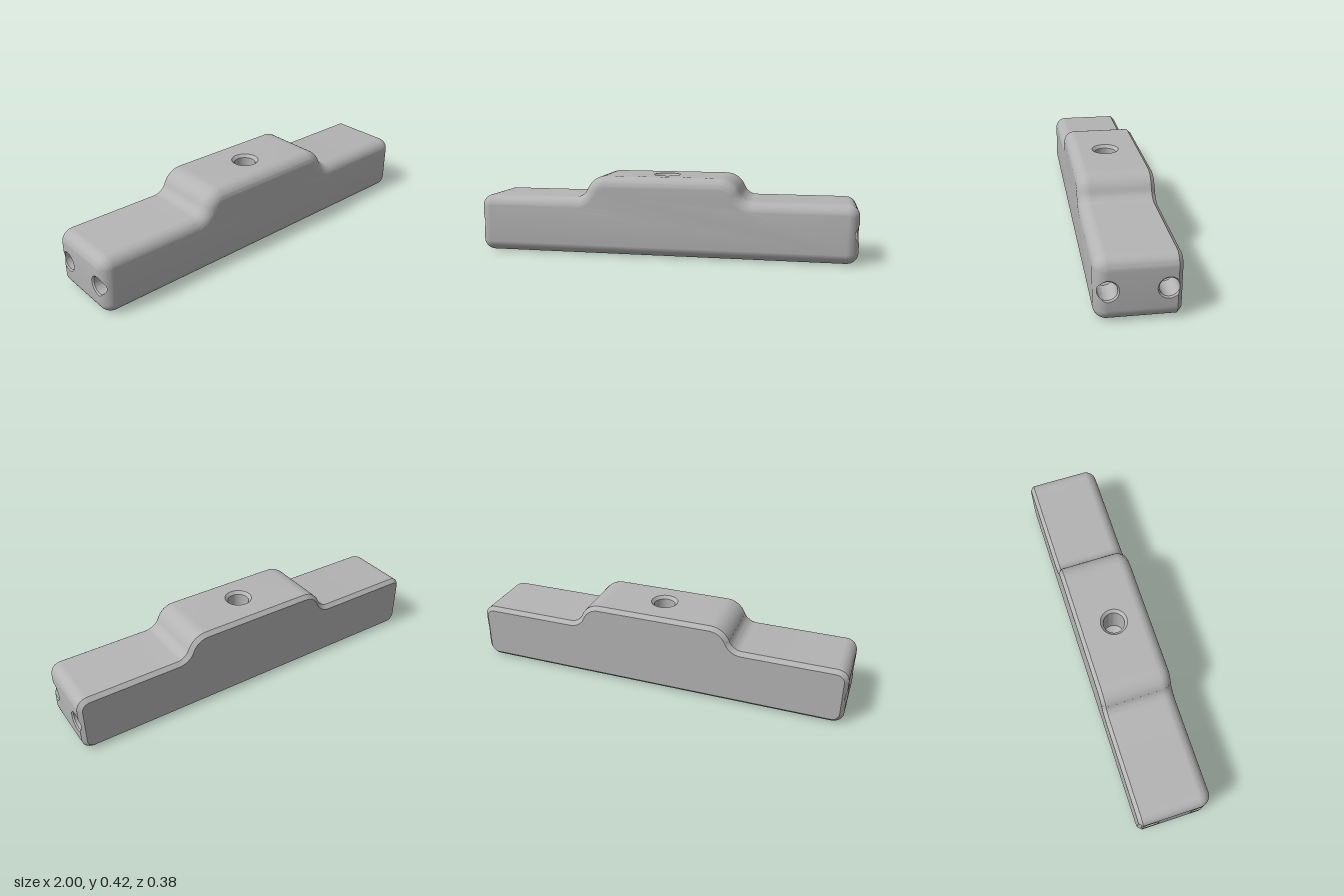
import * as THREE from 'three';
import { toCreasedNormals } from 'three/addons/utils/BufferGeometryUtils.js';

const FRONT = 0.13, BACK = -0.17, HALF = 0.19, R = 0.06; // fillet start, chamfer start, half depth, fillet radius
const TOP = 0.417, HOLE_Y = 0.152, BORE = 0.044, SINK = 0.007;
const HOLES = [{ c: 0.132, lo: 0.081, hi: 0.176 }, { c: -0.132, lo: -0.1765, hi: -0.081 }];

// How far the outline shrinks at depth z: chamfer at the back, fillet at the front
function inset(z) {
  if (z < BACK) return BACK - z;
  if (z > FRONT) return R - Math.sqrt(Math.max(0, R * R - (z - FRONT) ** 2));
  return 0;
}

// Collects triangles and turns them into a mesh
class Surface {
  constructor() { this.p = []; }
  tri(a, b, c, flip) {
    const d = (u, v) => Math.hypot(u[0] - v[0], u[1] - v[1], u[2] - v[2]) < 1e-6;
    if (d(a, b) || d(b, c) || d(a, c)) return;
    this.p.push(...a, ...(flip ? c : b), ...(flip ? b : c));
  }
  quad(a, b, c, d, flip) {
    this.tri(a, b, c, flip);
    this.tri(a, c, d, flip);
  }
  // Flat face with holes, placed in space by map
  flat(outline, holes, map, flip) {
    const all = [...outline, ...holes.flat()];
    for (const [i, j, k] of THREE.ShapeUtils.triangulateShape(outline, holes)) {
      const [a, b, c] = [all[i], all[j], all[k]];
      const ccw = (b.x - a.x) * (c.y - a.y) - (b.y - a.y) * (c.x - a.x) > 0;
      this.tri(map(a), map(b), map(c), ccw === flip);
    }
  }
  // Skin between successive closed rings
  rings(rings, flip) {
    for (let k = 0; k + 1 < rings.length; k++) {
      const a = rings[k], b = rings[k + 1], n = a.length;
      for (let i = 0; i < n; i++) this.quad(a[i], a[(i + 1) % n], b[(i + 1) % n], b[i], flip);
    }
  }
  mesh(name, material) {
    const g = new THREE.BufferGeometry();
    g.setAttribute('position', new THREE.Float32BufferAttribute(this.p, 3));
    const m = new THREE.Mesh(toCreasedNormals(g, 0.6), material);
    m.name = name;
    return m;
  }
}

// Stepped outline with outward normals, counter-clockwise
function outline() {
  const half = [];
  const arc = (cx, cy, r, a0, a1, sign = 1) => {
    for (let i = 0; i <= 10; i++) {
      const a = a0 + (a1 - a0) * i / 10, c = Math.cos(a), s = Math.sin(a);
      half.push({ x: cx + r * c, y: cy + r * s, nx: sign * c, ny: sign * s });
    }
  };
  const q = Math.PI / 2, t = Math.atan2(0.0677, 0.17);
  arc(0.94, R, R, -q, 0);
  arc(0.94, 0.242, R, 0, q);
  arc(0.47, 0.3747, 0.0727, -q, t - 2 * q, -1);
  arc(0.30, 0.307, 0.11, t, q);
  return [...half, ...half.map(p => ({ ...p, x: -p.x, nx: -p.nx })).reverse()];
}

// Depth samples shared by the body and its drilled ends
function depths() {
  const zs = [-HALF, BACK, FRONT];
  for (let i = 1; i <= 12; i++) zs.push(FRONT + R * Math.sin(i / 12 * Math.PI / 2));
  for (const { lo, hi } of HOLES)
    for (let i = 0; i <= 24; i++) zs.push((lo + hi) / 2 - (hi - lo) / 2 * Math.cos(i / 24 * Math.PI));
  return zs.sort((a, b) => a - b).filter((z, i, l) => i === 0 || z - l[i - 1] > 1e-6);
}

// Half height of an end hole's countersunk rim at depth z
function rimHeight(hole, z) {
  if (z < hole.lo + 1e-6 || z > hole.hi - 1e-6) return 0;
  const r = Math.max(BORE, BORE + SINK - inset(z));
  return Math.sqrt(Math.max(0, r * r - (z - hole.c) ** 2));
}

const circle = (r, n = 48) => Array.from({ length: n }, (_, i) =>
  new THREE.Vector2(r * Math.cos(i / n * 2 * Math.PI), r * Math.sin(i / n * 2 * Math.PI)));
const ringAt = (r, y) => circle(r).map(p => [p.x, y, p.y]);

export function createModel() {
  const group = new THREE.Group();
  const grey = new THREE.MeshStandardMaterial({ color: 0xb4b4b4 });
  grey.name = 'grey';
  const pts = outline(), zs = depths();
  const at = (p, z) => [p.x - p.nx * inset(z), p.y - p.ny * inset(z), z];
  const body = new Surface();

  // Side walls, leaving out the drilled areas
  pts.forEach((p, i) => {
    const n = pts[(i + 1) % pts.length];
    const both = test => test(p) && test(n);
    if (both(v => Math.abs(v.x) > 0.9999)) return;
    const drilled = both(v => v.y > TOP - 1e-4) || both(v => v.y < 1e-4);
    for (let k = 0; k + 1 < zs.length; k++) {
      const [a, b] = [zs[k], zs[k + 1]];
      if (drilled && a > BACK - 1e-6 && b < FRONT + 1e-6) continue;
      body.quad(at(p, a), at(n, a), at(n, b), at(p, b), false);
    }
  });

  // Front and back faces
  for (const z of [HALF, -HALF]) {
    const loop = pts.map(p => new THREE.Vector2(...at(p, z).slice(0, 2)))
      .filter((v, i, l) => v.distanceTo(l[(i + 1) % l.length]) > 1e-5);
    body.flat(loop, [], v => [v.x, v.y, z], z < 0);
  }

  // Top and bottom faces with their round openings
  const rect = w => [[-w, BACK], [w, BACK], [w, FRONT], [-w, FRONT]].map(p => new THREE.Vector2(...p));
  body.flat(rect(0.30), [circle(0.07)], v => [v.x, TOP, v.y], true);
  body.flat(rect(0.94), [circle(0.12)], v => [v.x, 0, v.y], false);

  // End faces, built as columns above and below each hole
  const endSockets = new Surface();
  for (const s of [1, -1]) {
    const pt = (y, z) => [s * (1 - inset(z)), y, z];
    for (let k = 0; k + 1 < zs.length; k++) {
      const [a, b] = [zs[k], zs[k + 1]];
      const hole = HOLES[(a + b) / 2 > 0 ? 0 : 1];
      const ha = rimHeight(hole, a), hb = rimHeight(hole, b);
      body.quad(pt(R, a), pt(HOLE_Y - ha, a), pt(HOLE_Y - hb, b), pt(R, b), s < 0);
      body.quad(pt(HOLE_Y + ha, a), pt(0.242, a), pt(0.242, b), pt(HOLE_Y + hb, b), s < 0);
    }
    // Countersink, bore and drill tip
    for (const hole of HOLES) {
      const span = zs.filter(z => z > hole.lo - 1e-6 && z < hole.hi + 1e-6);
      const rim = [
        ...span.map(z => pt(HOLE_Y + rimHeight(hole, z), z)),
        ...span.slice(1, -1).reverse().map(z => pt(HOLE_Y - rimHeight(hole, z), z)),
      ];
      const ring = (r, x) => rim.map(p => {
        const a = Math.atan2(p[1] - HOLE_Y, p[2] - hole.c);
        return [s * x(Math.abs(p[0])), HOLE_Y + r * Math.sin(a), hole.c + r * Math.cos(a)];
      });
      endSockets.rings([rim, ring(BORE, x => Math.min(x, 1 - SINK)),
        ring(BORE, () => 0.87), ring(0, () => 0.845)], s < 0);
    }
  }

  // Countersunk hole in the top
  const topSocket = new Surface();
  topSocket.rings([ringAt(0.07, TOP), ringAt(0.055, TOP - 0.015), ringAt(0.055, 0.22), ringAt(0, 0.188)], true);

  // Shallow round recess underneath
  const bottomRecess = new Surface();
  bottomRecess.rings([ringAt(0.12, 0), ringAt(0.12, 0.03), ringAt(0, 0.03)], false);

  group.add(body.mesh('body', grey), endSockets.mesh('endSockets', grey),
    topSocket.mesh('topSocket', grey), bottomRecess.mesh('bottomRecess', grey));
  return group;
}
